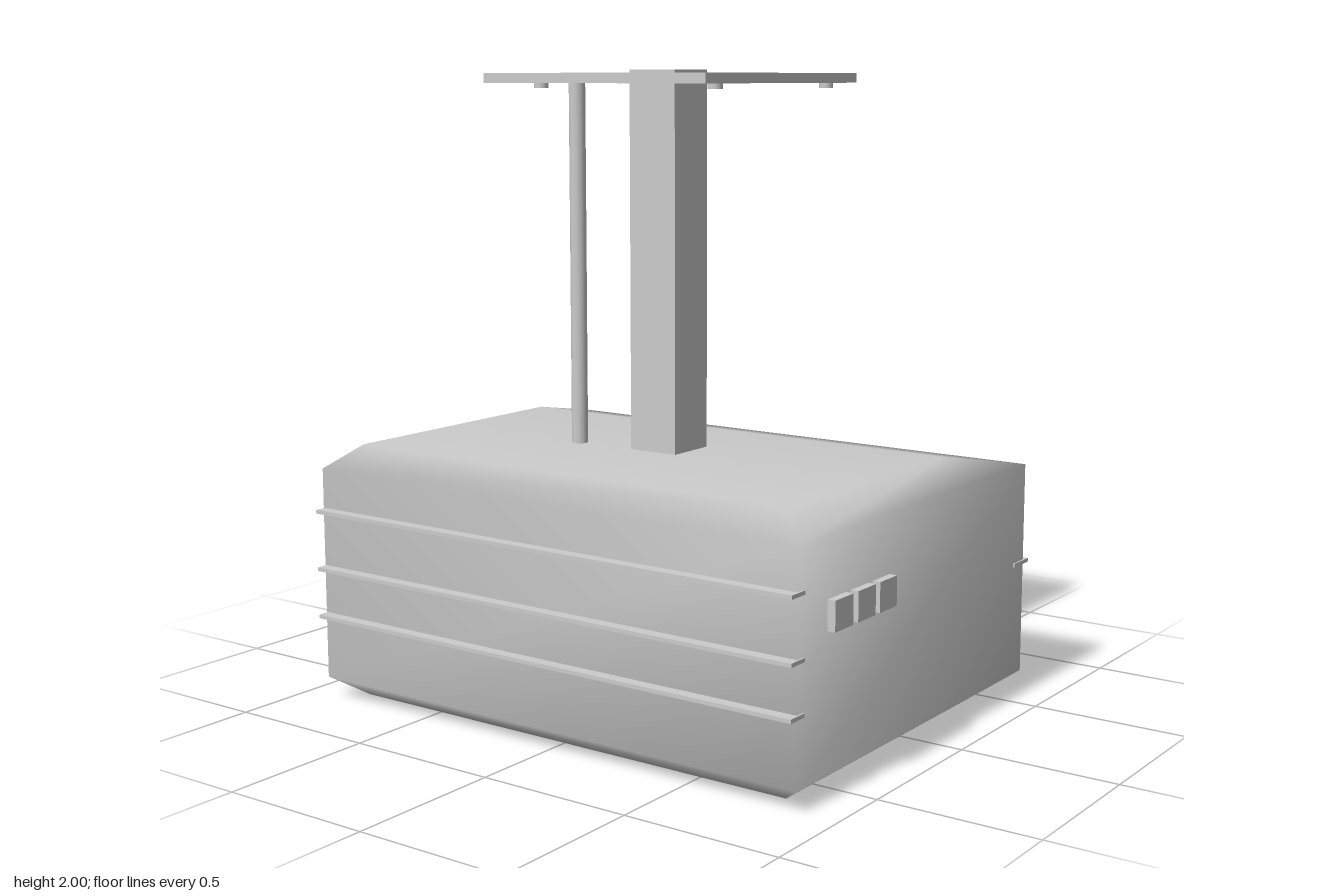
import * as THREE from 'three';

const material = new THREE.MeshStandardMaterial({ color: 0xcccccc });

function add(parent, name, geometry) {
  const mesh = new THREE.Mesh(geometry, material);
  mesh.name = name;
  parent.add(mesh);
  return mesh;
}

// Box given by its limits on each axis
function box(parent, name, [x0, x1], [y0, y1], [z0, z1]) {
  const mesh = add(parent, name, new THREE.BoxGeometry(x1 - x0, y1 - y0, z1 - z0));
  mesh.position.set((x0 + x1) / 2, (y0 + y1) / 2, (z0 + z1) / 2);
  return mesh;
}

// Chamfered case: four rectangular sections from bottom to top, smooth-shaded
function caseGeometry() {
  const sections = [
    // y, x min, x max, z min, z max
    [0, -0.64, 0.40, -0.81, 0.79],
    [0.065, -0.73, 0.63, -0.905, 0.88],
    [0.75, -0.73, 0.63, -0.905, 0.88],
    [0.825, -0.64, 0.24, -0.81, 0.79],
  ];
  const positions = [];
  const index = [];
  for (const [y, x0, x1, z0, z1] of sections) {
    positions.push(x0, y, z1, x1, y, z1, x1, y, z0, x0, y, z0);
  }
  for (let i = 0; i < sections.length - 1; i++) {
    for (let j = 0; j < 4; j++) {
      const a = i * 4 + j;
      const b = i * 4 + ((j + 1) % 4);
      index.push(a, b, b + 4, a, b + 4, a + 4);
    }
  }
  const top = (sections.length - 1) * 4;
  index.push(0, 2, 1, 0, 3, 2, top, top + 1, top + 2, top, top + 2, top + 3);
  const geometry = new THREE.BufferGeometry();
  geometry.setAttribute('position', new THREE.Float32BufferAttribute(positions, 3));
  geometry.setIndex(index);
  geometry.computeVertexNormals();
  return geometry;
}

// Soft-shaded disc pointing along +x
function lensDisc(parent, name, radius, x0, x1) {
  const profile = [[radius, 0], [radius, x1 - x0], [0, x1 - x0]].map(([r, h]) => new THREE.Vector2(r, h));
  const mesh = add(parent, name, new THREE.LatheGeometry(profile, 18));
  mesh.rotation.z = -Math.PI / 2;
  mesh.position.set(x0, 0.42, -0.46);
}

export function createModel() {
  const model = new THREE.Group();
  model.name = 'ceilingProjector';

  add(model, 'case', caseGeometry());

  // Ceiling mount
  const mount = new THREE.Group();
  mount.name = 'ceilingMount';
  model.add(mount);
  box(mount, 'squarePole', [-0.21, -0.04], [0.8, 2], [-0.07, 0.10]);
  box(mount, 'ceilingPlate', [-0.505, 0.315], [1.96, 1.99], [-0.40, 0.42]);
  const conduit = add(mount, 'cableConduit', new THREE.CylinderGeometry(0.026, 0.026, 1.16, 12));
  conduit.position.set(-0.21, 1.38, -0.275);
  for (const x of [-0.365, 0.24]) {
    for (const z of [-0.29, 0.355]) {
      const bolt = add(mount, 'plateBolt', new THREE.CylinderGeometry(0.022, 0.022, 0.02, 12));
      bolt.position.set(x, 1.954, z);
    }
  }

  // Lens on the left side
  lensDisc(model, 'lensCollar', 0.205, 0.6, 0.69);
  lensDisc(model, 'lensBarrel', 0.13, 0.62, 0.762);

  // Vent slats and trim line beside the lens
  const slats = 20;
  for (let i = 0; i < slats; i++) {
    const z = -0.043 + (i * 0.688) / (slats - 1);
    box(model, 'ventSlat', [0.61, 0.672], [0.24, 0.645], [z - 0.007, z + 0.007]);
  }
  box(model, 'leftTrim', [0.56, 0.657], [0.424, 0.436], [-0.3, 0.885]);

  // Trim lines along the right side
  for (const y of [0.275, 0.43, 0.617]) {
    box(model, 'rightTrim', [-0.768, -0.7], [y - 0.006, y + 0.006], [-0.9, 0.885]);
  }

  // Front buttons
  for (const x of [-0.53, -0.407, -0.287]) {
    box(model, 'button', [x - 0.048, x + 0.048], [0.48, 0.57], [0.86, 0.905]);
  }

  return model;
}
